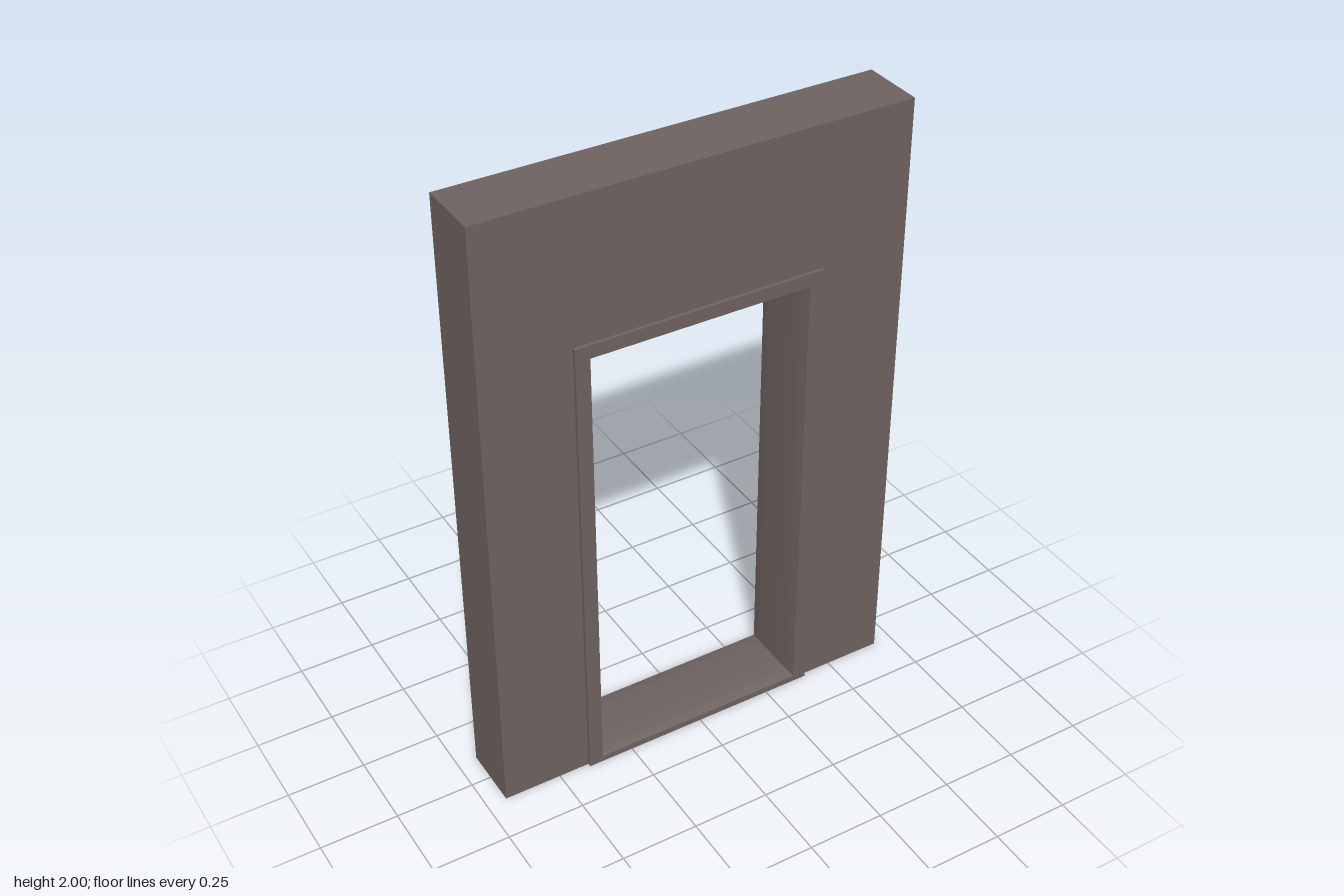
import * as THREE from 'three';

const plaster = new THREE.MeshStandardMaterial({ color: 0x6d615e });
plaster.name = 'brownGrey';

const polygon = pts => pts.map(([x, y]) => new THREE.Vector2(x, y));
const rect = (w, y0, y1) => [[-w, y0], [w, y0], [w, y1], [-w, y1]];

// Flat shape extruded from z0 to z1
function slab(name, shape, z0, z1) {
  const geo = new THREE.ExtrudeGeometry(shape, { depth: z1 - z0, bevelEnabled: false });
  geo.translate(0, 0, z0);
  const mesh = new THREE.Mesh(geo, plaster);
  mesh.name = name;
  return mesh;
}

// Lining of the opening: each side swells gently inward between front and back
function liningGeometry(halfW, y0, y1, depth, segments = 10) {
  const ring = k => {
    const t = (k / segments) * 2 - 1;
    const swell = Math.sqrt(Math.max(0, 1 - t * t * 0.98));
    return rect(halfW - 0.01 * swell, y0 + 0.015 * swell, y1 - 0.02 * swell)
      .map(([x, y]) => [x, y, t * depth]);
  };
  const pos = [], index = [];
  for (let side = 0; side < 4; side++) {
    const base = pos.length / 3;
    for (let k = 0; k <= segments; k++) {
      const r = ring(k);
      pos.push(...r[side], ...r[(side + 1) % 4]);
      if (k < segments) {
        const d = base + k * 2, c = d + 1, a = d + 2, b = d + 3;
        index.push(a, b, c, a, c, d);
      }
    }
  }
  const geo = new THREE.BufferGeometry();
  geo.setAttribute('position', new THREE.Float32BufferAttribute(pos, 3));
  geo.setIndex(index);
  geo.computeVertexNormals();
  return geo;
}

export function createModel() {
  const group = new THREE.Group();
  group.name = 'doorway';

  // Wall with a notch for the door frame
  const wall = new THREE.Shape(polygon([
    [-0.686, 0], [-0.4, 0], [-0.4, 1.545], [0.4, 1.545],
    [0.4, 0], [0.686, 0], [0.686, 2], [-0.686, 2],
  ]));
  group.add(slab('wall', wall, -0.1, 0.105));

  // Frame standing slightly proud on both faces
  const frame = new THREE.Shape(polygon(rect(0.4, 0, 1.545)));
  frame.holes.push(new THREE.Path(polygon(rect(0.354, 0.02, 1.503))));
  group.add(slab('doorFrame', frame, -0.117, 0.117));

  // Curved jambs, lintel and sill
  const lining = new THREE.Mesh(liningGeometry(0.354, 0.02, 1.503, 0.117), plaster);
  lining.name = 'doorLining';
  group.add(lining);

  return group;
}
